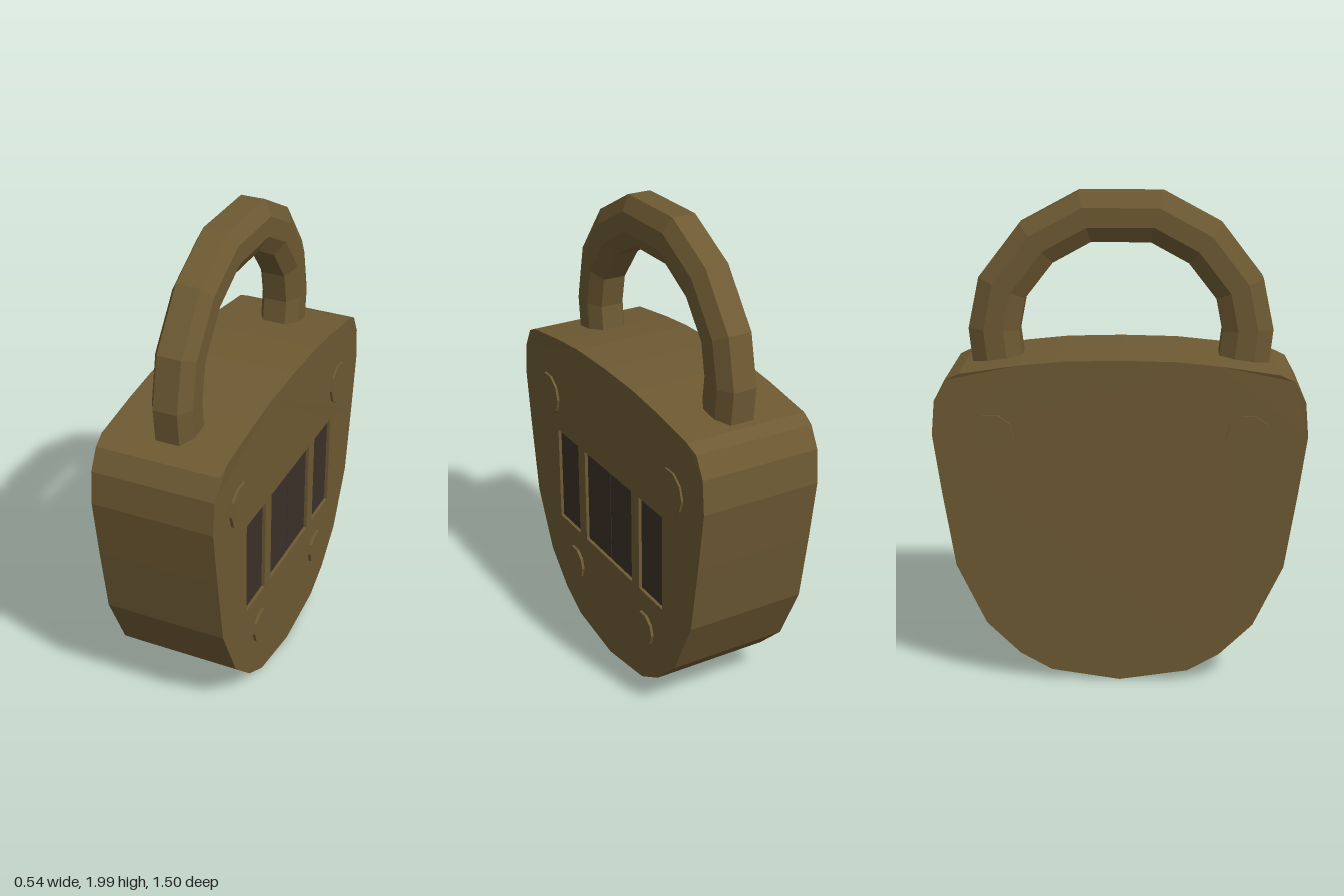
import * as THREE from 'three';

const brass = new THREE.MeshStandardMaterial({ color: 0x6e5a33, flatShading: true });
brass.name = 'aged brass';
const dark = new THREE.MeshStandardMaterial({ color: 0x3d3129, flatShading: true });
dark.name = 'dark brown';

const HALF = 0.256; // half thickness of the body
const RECESS = 0.02; // depth of the dial slots
const SLOT_Y = [0.47, 0.895];
const SLOTS = [[-0.445, -0.26], [-0.2, 0.2], [0.26, 0.445]];

function add(group, name, geometry, material) {
  const mesh = new THREE.Mesh(geometry, material);
  mesh.name = name;
  group.add(mesh);
  return mesh;
}

// Shield outline, bottom to top, as [distance from middle, height]
function bodyShape() {
  const side = [
    [0.28, 0.042], [0.41, 0.115], [0.547, 0.248], [0.667, 0.5], [0.715, 0.8],
    [0.75, 1.05], [0.738, 1.19], [0.693, 1.275], [0.635, 1.302], [0.4, 1.336], [0.23, 1.353],
  ];
  const mirrored = side.map(([u, y]) => [-u, y]).reverse();
  const outline = [[0, 0], ...side, [0, 1.358], ...mirrored];
  return new THREE.Shape(outline.map(([u, y]) => new THREE.Vector2(u, y)));
}

// Slice of the body between two x positions; its top edge flares slightly
function slab(shape, x0, x1) {
  const g = new THREE.ExtrudeGeometry(shape, { depth: x1 - x0, bevelEnabled: false });
  g.rotateY(Math.PI / 2).translate(x0, 0, 0);
  const p = g.attributes.position;
  for (let i = 0; i < p.count; i++) {
    const x = p.getX(i);
    if (p.getY(i) > 1.3 && Math.abs(x) > HALF - 0.001) p.setX(i, x + Math.sign(x) * 0.006);
  }
  g.computeVertexNormals();
  return g;
}

// Eight-sided bar swept along the bow
function shackleGeometry() {
  const half = [[0.145, 1.895], [0.34, 1.79], [0.48, 1.61], [0.515, 1.44], [0.495, 1.26]];
  const path = [...half.map(([z, y]) => [-z, y]).reverse(), ...half]
    .map(([z, y]) => new THREE.Vector3(0, y, z));
  const section = [
    [0.085, -0.04], [0.085, 0.04], [0.05, 0.103], [-0.05, 0.103],
    [-0.085, 0.04], [-0.085, -0.04], [-0.05, -0.103], [0.05, -0.103],
  ];
  const xAxis = new THREE.Vector3(1, 0, 0);
  const n = section.length;
  const positions = [];
  const index = [];
  path.forEach((point, i) => {
    const before = path[Math.max(i - 1, 0)];
    const after = path[Math.min(i + 1, path.length - 1)];
    const a = point.clone().sub(before).normalize();
    const b = after.clone().sub(point).normalize();
    const normal = a.add(b).normalize().cross(xAxis);
    for (const [x, d] of section) {
      positions.push(x, point.y + normal.y * d, point.z + normal.z * d);
    }
    if (i === 0) return;
    for (let j = 0; j < n; j++) {
      const k = (j + 1) % n;
      const p = (i - 1) * n;
      const q = i * n;
      index.push(p + j, p + k, q + k, p + j, q + k, q + j);
    }
  });
  const g = new THREE.BufferGeometry();
  g.setAttribute('position', new THREE.Float32BufferAttribute(positions, 3));
  g.setIndex(index);
  g.computeVertexNormals();
  return g;
}

export function createModel() {
  const model = new THREE.Group();
  model.name = 'padlock';

  // Body core and the front plate with slot openings
  add(model, 'body', slab(bodyShape(), -HALF, HALF - RECESS), brass);
  const face = bodyShape();
  for (const [u0, u1] of SLOTS) {
    face.holes.push(new THREE.Path([
      new THREE.Vector2(u0, SLOT_Y[0]), new THREE.Vector2(u0, SLOT_Y[1]),
      new THREE.Vector2(u1, SLOT_Y[1]), new THREE.Vector2(u1, SLOT_Y[0]),
    ]));
  }
  add(model, 'facePlate', slab(face, HALF - RECESS, HALF), brass);

  // Dark dial panels in the slots; the wide slot holds two
  const panels = [SLOTS[0], [-0.2, -0.002], [0.002, 0.2], SLOTS[2]];
  for (const [u0, u1] of panels) {
    const g = new THREE.BoxGeometry(0.008, SLOT_Y[1] - SLOT_Y[0], u1 - u0);
    add(model, 'dialPanel', g, dark)
      .position.set(HALF - RECESS + 0.002, (SLOT_Y[0] + SLOT_Y[1]) / 2, -(u0 + u1) / 2);
  }

  // Rivets: upper pair on both faces, lower pair on the dial face only
  function rivet(name, x, y, z, radius) {
    const g = new THREE.CylinderGeometry(radius, radius, 0.024, 10).rotateZ(Math.PI / 2);
    add(model, name, g, brass).position.set(x, y, z);
  }
  for (const s of [-1, 1]) {
    rivet('upperRivet', HALF, 1.045, s * 0.515, 0.094);
    rivet('upperRivet', -HALF, 1.045, s * 0.515, 0.094);
    rivet('lowerRivet', HALF, 0.303, s * 0.304, 0.075);
  }

  add(model, 'shackle', shackleGeometry(), brass);
  return model;
}
